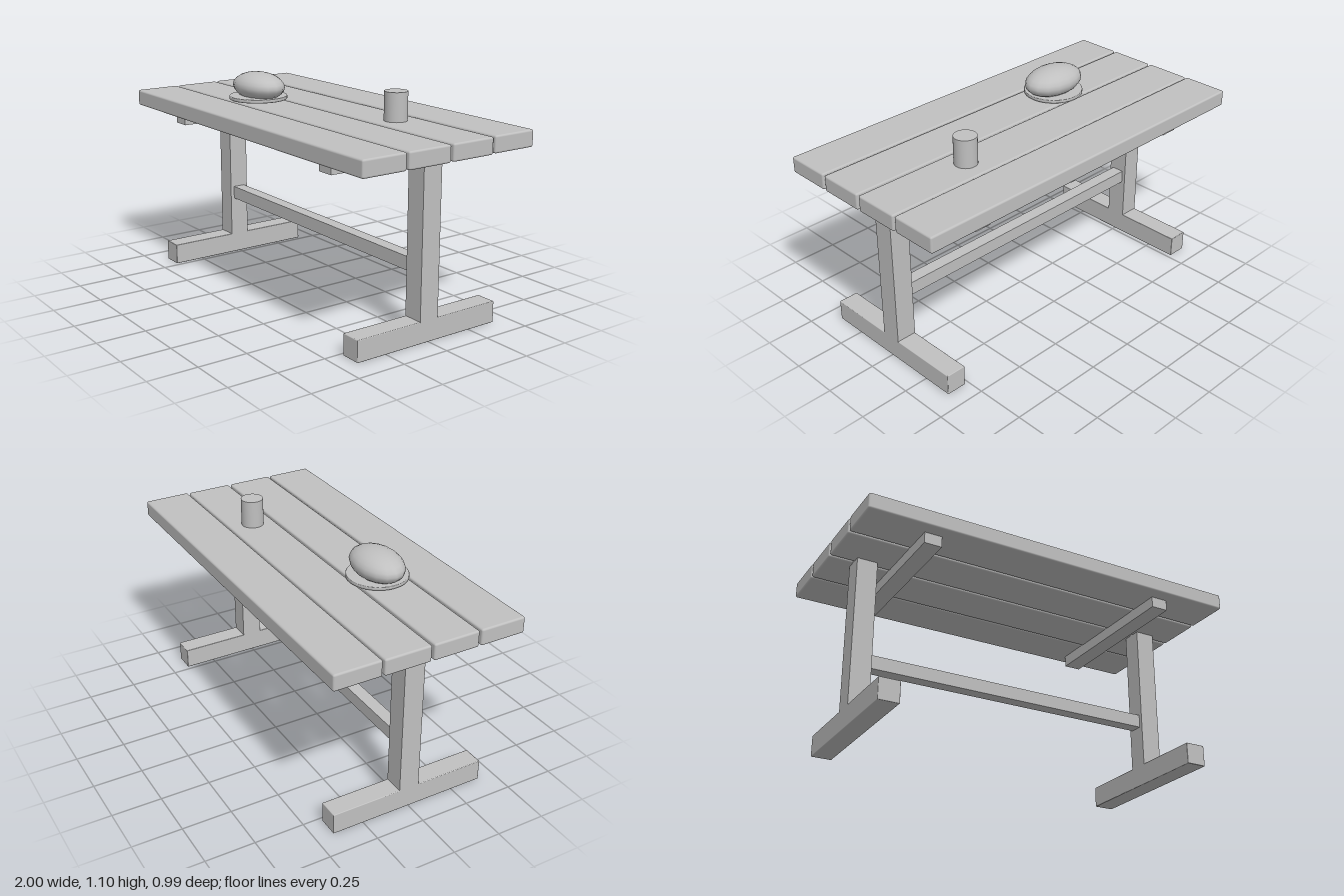
import * as THREE from 'three';
import { RoundedBoxGeometry } from 'three/addons/geometries/RoundedBoxGeometry.js';

export function createModel() {
  const model = new THREE.Group();
  model.name = 'trestleTable';
  const grey = new THREE.MeshStandardMaterial({ color: 0xc0c0c0 });
  grey.name = 'light grey';

  const add = (name, geometry, x, y, z) => {
    const mesh = new THREE.Mesh(geometry, grey);
    mesh.name = name;
    mesh.position.set(x, y, z);
    model.add(mesh);
    return mesh;
  };
  // Box given by its limits on each axis, with an optional edge radius
  const block = (name, [x0, x1], [y0, y1], [z0, z1], r = 0) => {
    const size = [x1 - x0, y1 - y0, z1 - z0];
    const geometry = r ? new RoundedBoxGeometry(...size, 2, r) : new THREE.BoxGeometry(...size);
    return add(name, geometry, (x0 + x1) / 2, (y0 + y1) / 2, (z0 + z1) / 2);
  };

  // Table top: four planks with narrow gaps
  [[-0.492, -0.253, 0.004], [-0.242, -0.005, 0.001], [0.008, 0.245, 0], [0.257, 0.493, 0]]
    .forEach(([z0, z1, lift], i) =>
      block('plank' + (i + 1), [-1, 1], [0.873 + lift, 0.956 + lift], [z0, z1], 0.01));

  // Trestle ends and the battens under the planks
  for (const [side, s] of [['left', 1], ['right', -1]]) {
    const span = (a, b) => (s > 0 ? [a, b] : [-b, -a]);
    block(side + 'Foot', span(0.77, 0.875), [0, 0.108], [-0.41, 0.412], 0.004);
    block(side + 'Post', span(0.77, 0.875), [0.1, 0.904], [-0.052, 0.053]);
    block(side + 'Batten', span(0.602, 0.692), [0.817, 0.877], [-0.421, 0.425]);
  }

  // Long rail between the posts
  block('stretcher', [-0.78, 0.78], [0.318, 0.386], [-0.033, 0.033]);

  // Plate: a shallow disc on a small foot ring
  const plate = [[0, 0.956], [0.066, 0.956], [0.075, 0.962], [0.147, 0.964], [0.151, 0.967],
    [0.151, 0.98], [0.148, 0.983], [0, 0.983]].map(([r, y]) => new THREE.Vector2(r, y));
  add('plate', new THREE.LatheGeometry(plate, 40), -0.36, 0, 0.122);

  // Loaf: a stretched ball resting in the plate
  const loaf = add('loaf', new THREE.SphereGeometry(1, 16, 12), -0.358, 1.031, 0.12);
  loaf.scale.set(0.172, 0.073, 0.116);

  // Closed beaker
  add('beaker', new THREE.CylinderGeometry(0.057, 0.057, 0.144, 32), 0.468, 1.027, -0.118);

  return model;
}
